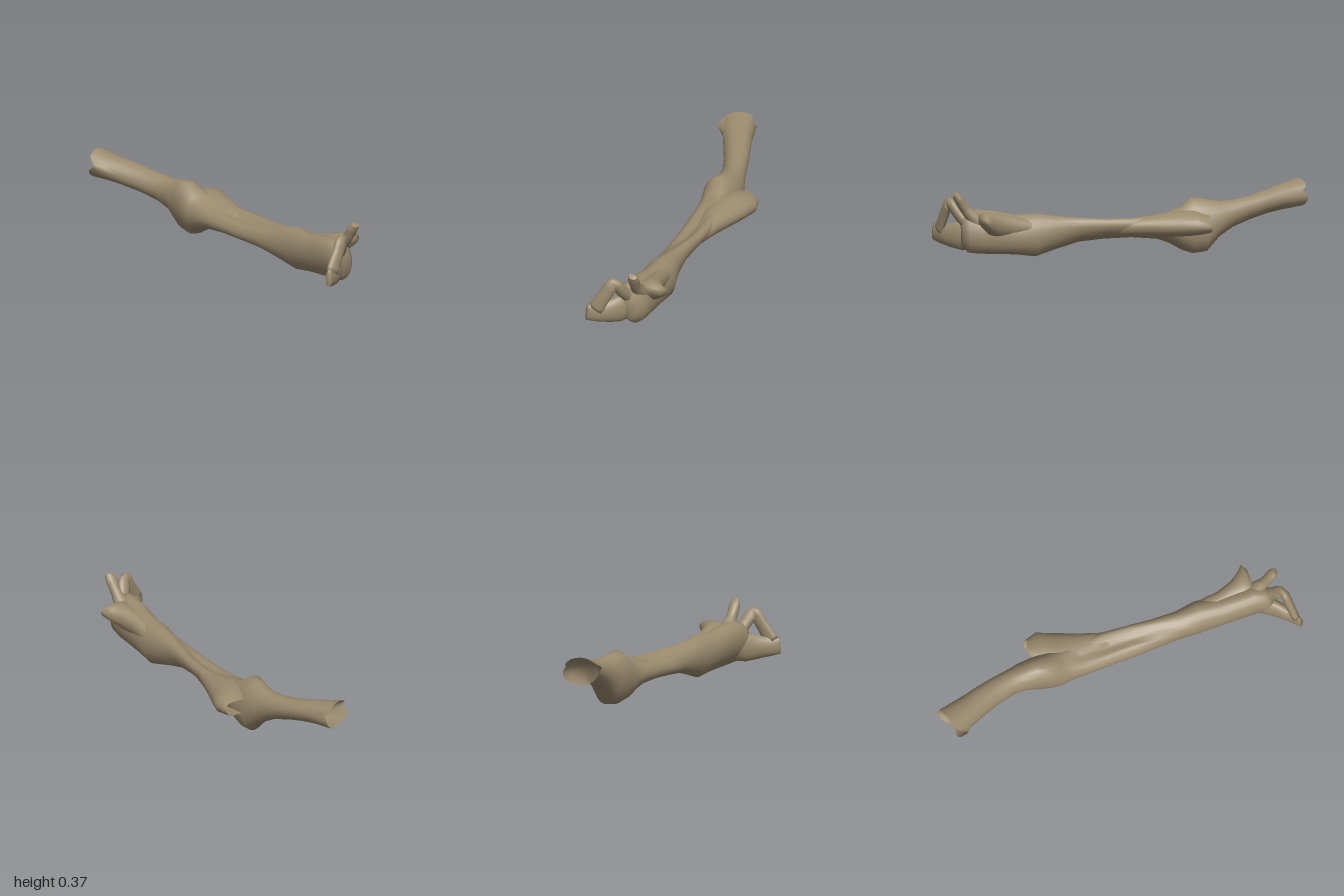
import * as THREE from 'three';

const SIDES = 24;

// Skin a list of rings (arrays of Vector3); ends may be closed
function skin(rings, capStart, capEnd) {
  const pos = [], idx = [];
  rings.forEach(r => r.forEach(p => pos.push(p.x, p.y, p.z)));
  for (let s = 0; s < rings.length - 1; s++) {
    for (let i = 0; i < SIDES; i++) {
      const j = (i + 1) % SIDES, a = s * SIDES, b = a + SIDES;
      idx.push(a + i, b + i, a + j, a + j, b + i, b + j);
    }
  }
  const cap = (s, flip) => {
    const c = new THREE.Vector3();
    rings[s].forEach(p => c.addScaledVector(p, 1 / SIDES));
    const n = pos.length / 3;
    pos.push(c.x, c.y, c.z);
    for (let i = 0; i < SIDES; i++) {
      const a = s * SIDES + i, b = s * SIDES + (i + 1) % SIDES;
      flip ? idx.push(n, a, b) : idx.push(n, b, a);
    }
  };
  if (capStart) cap(0, true);
  if (capEnd) cap(rings.length - 1, false);
  const g = new THREE.BufferGeometry();
  g.setAttribute('position', new THREE.Float32BufferAttribute(pos, 3));
  g.setIndex(idx);
  g.computeVertexNormals();
  return g;
}

// Sections along x: [x, bottom, top, back, front, lean of the top in z]
function loft(sections, capEnd, shape = () => {}) {
  const rings = sections.map(([x, b, t, zb, zf, lean], s) => {
    const ring = [];
    for (let i = 0; i < SIDES; i++) {
      const a = i / SIDES * Math.PI * 2, sn = Math.sin(a), cs = Math.cos(a);
      const p = new THREE.Vector3(x, (b + t) / 2 + (t - b) / 2 * sn,
        (zb + zf) / 2 + (zf - zb) / 2 * cs + lean * sn);
      shape(p, a, s);
      ring.push(p);
    }
    return ring;
  });
  return skin(rings, false, capEnd);
}

// Tapering limb along a curve: points [x, y, z, half height, half width]
function limb(points, ref) {
  const curve = new THREE.CatmullRomCurve3(points.map(p => new THREE.Vector3(p[0], p[1], p[2])));
  const n = 24, rings = [];
  for (let k = 0; k <= n; k++) {
    const t = k / n, f = t * (points.length - 1), s = Math.min(Math.floor(f), points.length - 2);
    const size = i => THREE.MathUtils.lerp(points[s][i], points[s + 1][i], f - s);
    const c = curve.getPoint(t), tan = curve.getTangent(t);
    const side = new THREE.Vector3().crossVectors(tan, ref).normalize();
    const up = new THREE.Vector3().crossVectors(side, tan);
    const ring = [];
    for (let i = 0; i < SIDES; i++) {
      const a = i / SIDES * Math.PI * 2;
      ring.push(c.clone().addScaledVector(side, Math.cos(a) * size(4))
        .addScaledVector(up, Math.sin(a) * size(3)));
    }
    rings.push(ring);
  }
  return skin(rings, true, true);
}

export function createModel() {
  const group = new THREE.Group();
  const bone = new THREE.MeshStandardMaterial({ color: 0x9a8a6e, side: THREE.DoubleSide });
  bone.name = 'dry tan';
  const add = (name, geometry) => {
    const m = new THREE.Mesh(geometry, bone);
    m.name = name;
    group.add(m);
  };

  // Long shaft: torn open end, elbow bulge, grooved forearm, wrist
  const shaft = [
    [-0.96, 0.205, 0.355, 0.045, 0.222, 0],
    [-0.86, 0.197, 0.33, 0.015, 0.182, 0],
    [-0.78, 0.185, 0.31, -0.01, 0.145, -0.005],
    [-0.68, 0.162, 0.288, -0.04, 0.10, -0.005],
    [-0.58, 0.13, 0.272, -0.065, 0.067, 0],
    [-0.50, 0.085, 0.27, -0.09, 0.058, 0.01],
    [-0.43, 0.01, 0.285, -0.105, 0.065, 0.015],
    [-0.36, 0, 0.293, -0.105, 0.08, 0.015],
    [-0.30, 0.02, 0.25, -0.11, 0.078, 0],
    [-0.24, 0.055, 0.235, -0.11, 0.07, -0.01],
    [-0.17, 0.08, 0.222, -0.105, 0.068, -0.02],
    [-0.03, 0.092, 0.212, -0.10, 0.06, -0.03],
    [0.12, 0.088, 0.212, -0.09, 0.055, -0.03],
    [0.25, 0.078, 0.218, -0.083, 0.05, -0.02],
    [0.38, 0.045, 0.226, -0.09, 0.046, -0.005],
    [0.49, 0.014, 0.242, -0.115, 0.05, 0.005],
    [0.60, 0.028, 0.235, -0.105, 0.052, 0.01],
    [0.70, 0.033, 0.258, -0.10, 0.057, 0.015],
    [0.79, 0.038, 0.268, -0.10, 0.06, 0.015],
    [0.85, 0.045, 0.262, -0.09, 0.065, 0.015],
    [0.88, 0.08, 0.23, -0.06, 0.06, 0.01]
  ];
  const bump = (v, centre, width) => Math.exp(-(((v - centre) / width) ** 2));
  const notch = (a, centre, width) => bump(2 * Math.sin((a - centre) / 2), 0, width);
  add('shaft', loft(shaft, true, (p, a, s) => {
    // slanted torn edge with notches in both walls and underneath
    if (s === 0) p.x += 0.035 * Math.cos(a) - 0.005 + 0.05 * notch(a, 0.2, 0.3)
      + 0.03 * notch(a, 2.9, 0.25) + 0.03 * notch(a, 4.7, 0.4);
    // lengthwise groove between the two forearm bones
    p.y -= 0.04 * bump(p.x, 0.05, 0.24) * bump(a, 1.2, 0.42);
  }));

  // Hollow point of the elbow, blending into the back of the forearm
  add('elbowPoint', loft([
    [-0.42, 0.12, 0.212, -0.205, -0.06, 0],
    [-0.35, 0.113, 0.237, -0.225, -0.02, 0.015],
    [-0.27, 0.105, 0.236, -0.195, 0.01, 0.015],
    [-0.17, 0.10, 0.222, -0.157, 0.01, 0],
    [-0.08, 0.10, 0.206, -0.125, 0, -0.01],
    [0.04, 0.105, 0.185, -0.09, -0.02, -0.01]
  ], true, (p, a, s) => {
    if (s === 0) p.x += 0.01 * Math.sin(a * 3);
  }));

  // Ridge along the back of the wrist ending in a spur
  add('wristSpur', loft([
    [0.50, 0.12, 0.21, -0.10, 0, 0],
    [0.62, 0.11, 0.235, -0.106, 0, -0.01],
    [0.70, 0.115, 0.255, -0.128, 0, -0.015],
    [0.75, 0.14, 0.265, -0.16, 0, -0.015],
    [0.785, 0.18, 0.265, -0.193, -0.01, -0.01],
    [0.805, 0.205, 0.25, -0.16, -0.05, 0]
  ], true));

  const up = new THREE.Vector3(0, 1, 0), across = new THREE.Vector3(1, 0, 0);

  // Broken pieces of the hand
  add('thumb', limb([
    [0.78, 0.135, -0.01, 0.07, 0.045], [0.87, 0.125, 0.045, 0.077, 0.04],
    [0.935, 0.122, 0.11, 0.056, 0.032], [0.985, 0.13, 0.183, 0.045, 0.016]
  ], up));
  add('loopedFinger', limb([
    [0.82, 0.16, -0.015, 0.03, 0.035], [0.885, 0.232, 0.014, 0.026, 0.034],
    [0.932, 0.295, 0.052, 0.024, 0.036], [0.948, 0.24, 0.09, 0.024, 0.036],
    [0.965, 0.15, 0.142, 0.022, 0.042]
  ], across));
  add('raisedFinger', limb([
    [0.79, 0.20, -0.04, 0.042, 0.048], [0.865, 0.275, -0.045, 0.027, 0.028],
    [0.905, 0.335, -0.05, 0.024, 0.031], [0.925, 0.362, -0.053, 0.016, 0.023]
  ], across));

  return group;
}
